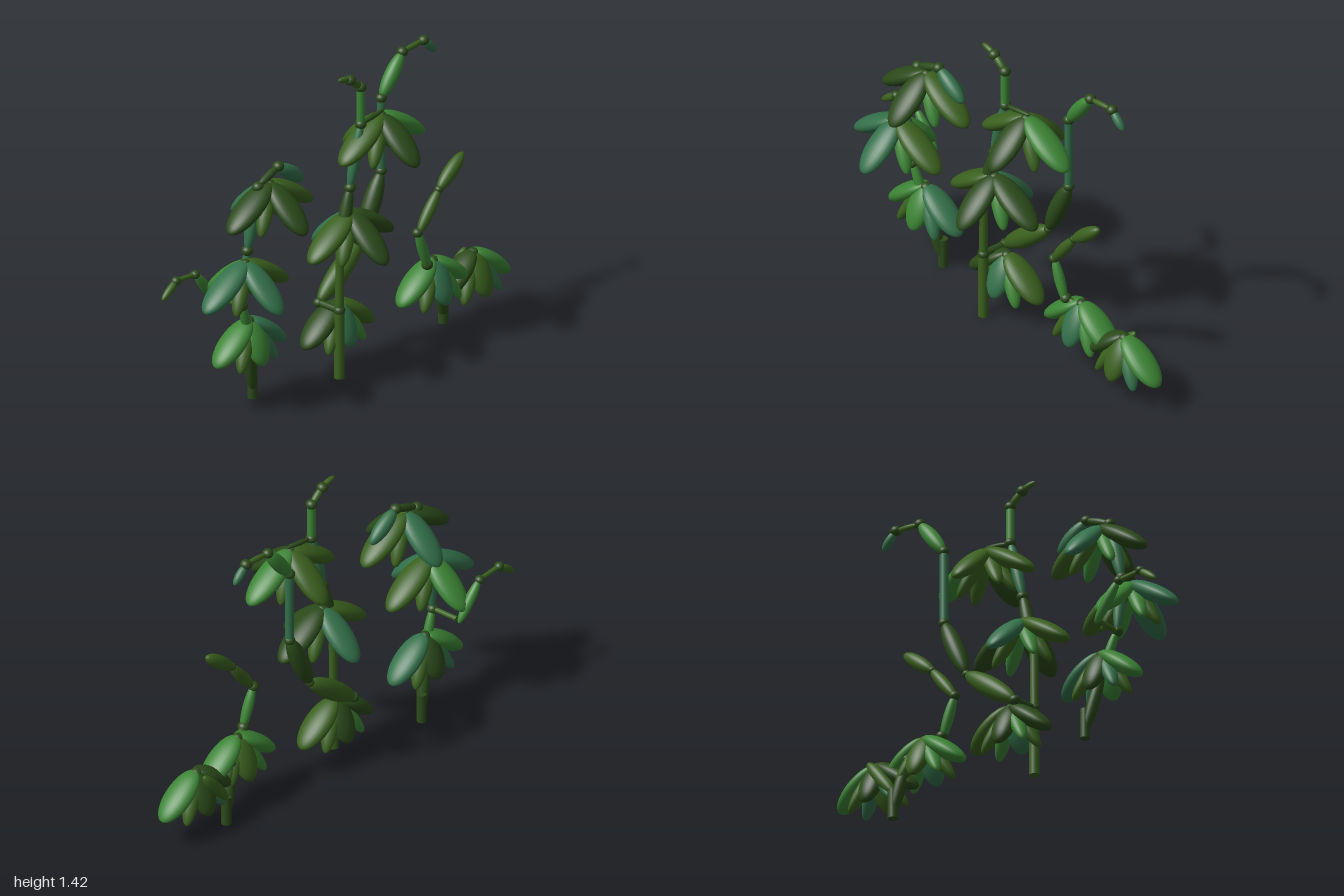
import * as THREE from 'three';

const shades = {
  dark: 0x2b4a1a, olive: 0x3a601e, leaf: 0x3c8435, teal: 0x33704a,
};
const mats = {};
for (const k in shades) mats[k] = new THREE.MeshStandardMaterial({ color: shades[k] });

const ball = new THREE.SphereGeometry(1, 24, 16);
const rod = new THREE.CylinderGeometry(1, 1, 1, 16);
const UP = new THREE.Vector3(0, 1, 0);
const V = (p) => new THREE.Vector3(...p);

// Stretch a unit shape between two points
function between(parent, name, geo, a, b, r, shade) {
  const A = V(a), B = V(b), d = B.clone().sub(A), len = d.length();
  const m = new THREE.Mesh(geo, mats[shade]);
  m.name = name;
  m.position.copy(A).add(B).multiplyScalar(0.5);
  m.quaternion.setFromUnitVectors(UP, d.normalize());
  m.scale.set(r, geo === ball ? len / 2 : len, r);
  parent.add(m);
}
const stem = (p, a, b, r, shade) => between(p, 'stemSegment', rod, a, b, r, shade);
const bud = (p, a, b, r, shade) => between(p, 'stemBulge', ball, a, b, r, shade);

function joint(parent, p, r = 0.026) {
  const m = new THREE.Mesh(ball, mats.dark);
  m.name = 'joint';
  m.position.set(...p);
  m.scale.set(r, r * 0.9, r);
  parent.add(m);
}

// Flattened drooping petal running from the flower's centre to its tip
function petal(parent, name, tip, width, thick, shade) {
  const t = V(tip), len = t.length(), d = t.clone().normalize();
  const side = new THREE.Vector3(-d.z, 0, d.x).normalize();
  const up = new THREE.Vector3().crossVectors(side, d);
  const m = new THREE.Mesh(ball, mats[shade]);
  m.name = name;
  m.quaternion.setFromRotationMatrix(new THREE.Matrix4().makeBasis(side, d, up));
  m.position.copy(t).multiplyScalar(0.5);
  m.scale.set(width, len / 2, thick);
  parent.add(m);
}

// Rosette: outer petals on four sides, inner petals on the diagonals
function rosette(parent, name, at, big, [left, right, front, back, inner]) {
  const g = new THREE.Group();
  g.name = name;
  g.position.set(...at);
  const [reach, drop] = big ? [0.265, 0.165] : [0.22, 0.165];
  petal(g, 'sidePetal', [-reach, -drop, 0], 0.068, 0.04, left);
  petal(g, 'sidePetal', [reach, -drop, 0], 0.068, 0.04, right);
  const [zReach, zDrop, w] = big ? [0.21, 0.195, 0.066] : [0.085, 0.2, 0.06];
  petal(g, 'frontPetal', [0, -zDrop, zReach], w, 0.038, front);
  petal(g, 'backPetal', [0, -zDrop, -zReach], w, 0.038, back);
  for (const sx of [-1, 1]) for (const sz of [-1, 1]) {
    petal(g, 'innerPetal', [sx * 0.12, -0.21, sz * 0.055], 0.036, 0.03, sx * sz > 0 ? inner : 'olive');
  }
  joint(g, [0, -0.012, 0], 0.026);
  parent.add(g);
}

export function createModel() {
  const root = new THREE.Group();
  root.name = 'jointedPlants';
  const plant = (name) => {
    const g = new THREE.Group();
    g.name = name;
    root.add(g);
    return g;
  };

  // Plant on the -x side
  const a = plant('rightPlant');
  stem(a, [-0.51, 0, -0.12], [-0.51, 0.14, -0.12], 0.022, 'dark');
  bud(a, [-0.505, 0.02, -0.12], [-0.58, 0.32, -0.08], 0.028, 'dark');
  bud(a, [-0.57, 0.29, -0.08], [-0.645, 0.51, -0.06], 0.022, 'leaf');
  joint(a, [-0.645, 0.495, -0.06]);
  bud(a, [-0.645, 0.49, -0.06], [-0.645, 0.77, -0.03], 0.026, 'teal');
  joint(a, [-0.645, 0.765, -0.03]);
  bud(a, [-0.645, 0.76, -0.03], [-0.575, 1.05, -0.03], 0.03, 'teal');
  joint(a, [-0.575, 1.045, -0.03]);
  bud(a, [-0.58, 1.045, -0.03], [-0.43, 1.105, -0.03], 0.018, 'dark');
  joint(a, [-0.44, 1.1, -0.03]);
  bud(a, [-0.44, 1.1, -0.03], [-0.28, 0.99, -0.03], 0.034, 'teal');
  rosette(a, 'lowRosette', [-0.575, 0.405, -0.08], false, ['leaf', 'teal', 'leaf', 'dark', 'teal']);
  rosette(a, 'middleRosette', [-0.68, 0.73, -0.01], true, ['teal', 'olive', 'teal', 'leaf', 'leaf']);
  rosette(a, 'topRosette', [-0.508, 1.05, -0.02], true, ['dark', 'olive', 'dark', 'teal', 'leaf']);
  // Rear side shoot
  stem(a, [-0.645, 0.495, -0.06], [-0.65, 0.5, -0.2], 0.012, 'olive');
  bud(a, [-0.65, 0.48, -0.21], [-0.785, 0.65, -0.21], 0.024, 'leaf');
  joint(a, [-0.785, 0.645, -0.21], 0.022);
  stem(a, [-0.785, 0.645, -0.21], [-0.91, 0.655, -0.21], 0.011, 'olive');
  joint(a, [-0.91, 0.655, -0.21], 0.022);
  bud(a, [-0.9, 0.66, -0.21], [-1.0, 0.59, -0.21], 0.018, 'olive');

  // Middle plant
  const b = plant('middlePlant');
  stem(b, [-0.095, 0, 0.02], [-0.095, 0.32, 0.02], 0.023, 'olive');
  joint(b, [-0.095, 0.32, 0.02]);
  stem(b, [-0.095, 0.32, 0.02], [-0.092, 0.64, 0.02], 0.019, 'olive');
  bud(b, [-0.095, 0.6, 0.02], [-0.025, 0.89, 0.02], 0.03, 'dark');
  joint(b, [-0.025, 0.88, 0.02]);
  bud(b, [-0.03, 0.87, 0.02], [0.047, 1.17, 0.02], 0.026, 'teal');
  joint(b, [0.045, 1.16, 0.02]);
  stem(b, [0.045, 1.16, 0.02], [0.045, 1.335, 0.02], 0.019, 'leaf');
  joint(b, [0.045, 1.335, 0.02]);
  bud(b, [0.05, 1.33, 0.02], [-0.03, 1.395, 0.02], 0.017, 'olive');
  joint(b, [-0.025, 1.39, 0.02]);
  bud(b, [-0.015, 1.392, 0.02], [-0.1, 1.412, 0.02], 0.014, 'olive');
  bud(b, [0.045, 1.16, 0.02], [0.2, 1.18, 0.02], 0.012, 'dark');
  rosette(b, 'lowRosette', [-0.025, 0.325, -0.055], false, ['dark', 'olive', 'teal', 'dark', 'leaf']);
  rosette(b, 'middleRosette', [-0.022, 0.765, 0.02], true, ['olive', 'dark', 'dark', 'teal', 'leaf']);
  rosette(b, 'topRosette', [0.182, 1.165, 0.02], true, ['olive', 'leaf', 'dark', 'olive', 'olive']);
  // Long rear branch
  const z = -0.105;
  const path = [[-0.09, 0.32, z], [0.19, 0.53, z], [0.32, 0.815, z], [0.32, 1.16, z],
    [0.46, 1.335, z], [0.6, 1.345, z], [0.675, 1.27, z]];
  bud(b, path[0], path[1], 0.046, 'olive');
  bud(b, path[1], path[2], 0.042, 'dark');
  stem(b, path[2], path[3], 0.019, 'teal');
  bud(b, path[3], path[4], 0.034, 'leaf');
  bud(b, path[4], path[5], 0.013, 'olive');
  bud(b, path[5], path[6], 0.02, 'teal');
  path.slice(0, 6).forEach((p, i) => joint(b, p, i === 1 ? 0.02 : 0.025));
  stem(b, [-0.095, 0.32, 0.02], path[0], 0.016, 'dark');

  // Plant on the +x side
  const c = plant('leftPlant');
  stem(c, [0.665, 0, -0.05], [0.665, 0.14, -0.05], 0.023, 'dark');
  bud(c, [0.67, 0.02, -0.05], [0.6, 0.29, -0.02], 0.03, 'dark');
  bud(c, [0.66, 0.12, -0.05], [0.81, 0.31, -0.05], 0.03, 'olive');
  joint(c, [0.605, 0.275, -0.02]);
  bud(c, [0.61, 0.27, -0.02], [0.46, 0.37, 0.04], 0.022, 'olive');
  joint(c, [0.46, 0.365, 0.04]);
  bud(c, [0.465, 0.34, 0.045], [0.388, 0.55, 0.045], 0.024, 'leaf');
  joint(c, [0.39, 0.54, 0.045], 0.024);
  bud(c, [0.39, 0.535, 0.05], [0.53, 0.71, 0.05], 0.027, 'olive');
  joint(c, [0.525, 0.705, 0.05], 0.02);
  bud(c, [0.52, 0.7, 0.05], [0.685, 0.83, 0.05], 0.032, 'olive');
  rosette(c, 'innerRosette', [0.53, 0.365, 0.01], false, ['leaf', 'leaf', 'teal', 'olive', 'leaf']);
  rosette(c, 'outerRosette', [0.8, 0.315, 0.005], false, ['dark', 'leaf', 'olive', 'dark', 'teal']);
  return root;
}
